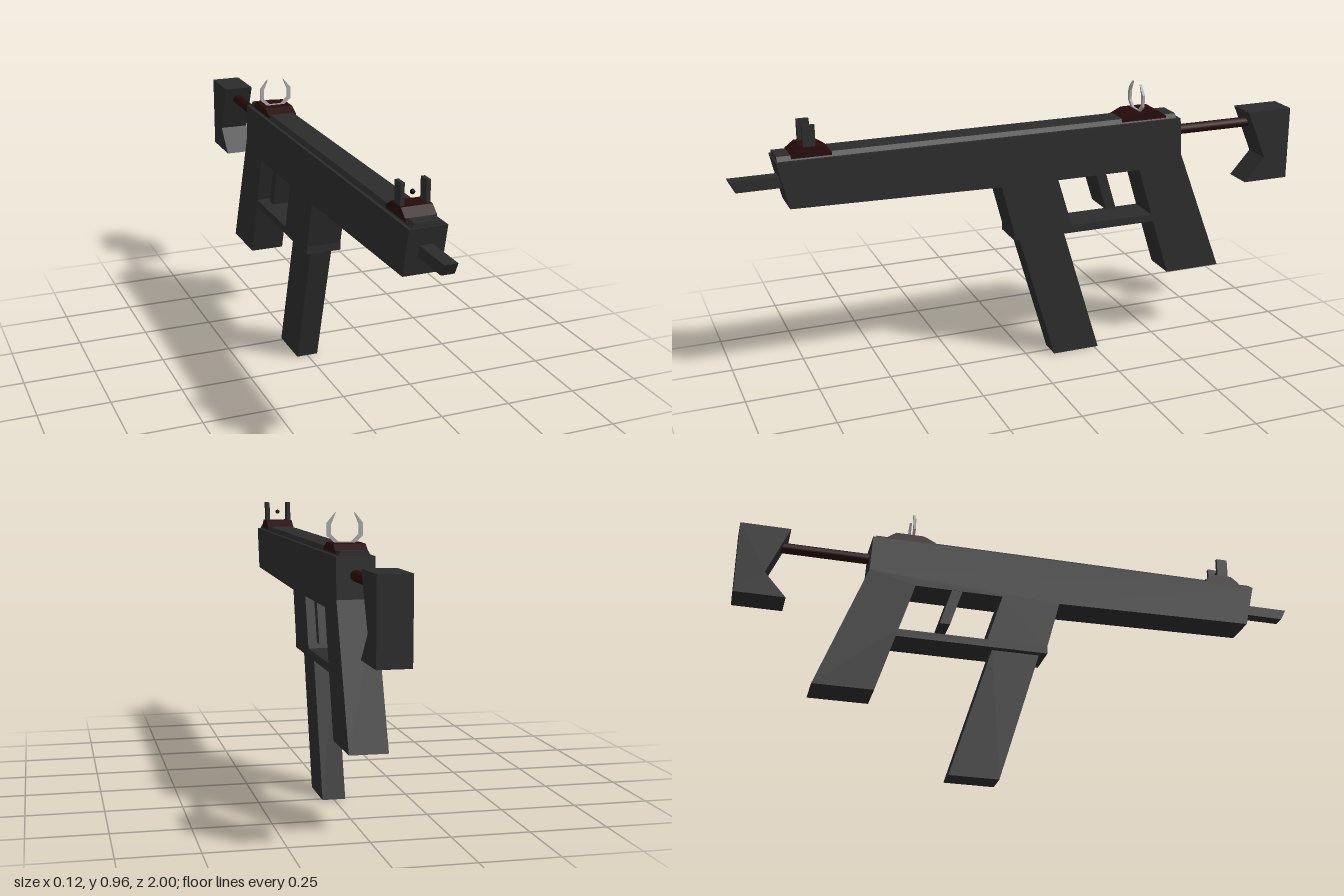
import * as THREE from 'three';

export function createModel() {
  const model = new THREE.Group();
  const mat = (name, color) => {
    const m = new THREE.MeshStandardMaterial({ color });
    m.name = name;
    return m;
  };
  const charcoal = mat('charcoal', 0x2c2c2c);
  const darkRed = mat('dark red', 0x280a0a);
  const steel = mat('steel grey', 0xa8a8a8);
  const black = mat('black', 0x060606);

  const add = (name, geometry, material, parent = model) => {
    const mesh = new THREE.Mesh(geometry, material);
    mesh.name = name;
    parent.add(mesh);
    return mesh;
  };
  const shapeOf = (pts) => new THREE.Shape(pts.map(([a, b]) => new THREE.Vector2(a, b)));
  const extrude = (shape, depth) =>
    new THREE.ExtrudeGeometry(shape, { depth, bevelEnabled: false }).translate(0, 0, -depth / 2);
  // side profile in (z, y), given a width across x
  const side = (pts, width, hole) => {
    const shape = shapeOf(pts);
    if (hole) shape.holes.push(shapeOf(hole));
    return extrude(shape, width).rotateY(-Math.PI / 2);
  };

  // frame: receiver, magazine well, guard and grip around the trigger window
  add('frame', side([
    [0.855, 0.83], [0.82, 0.675], [0.11, 0.66], [0.065, 0.49], [0.065, 0.463],
    [-0.46, 0.463], [-0.523, 0.26], [-0.727, 0.26], [-0.56, 0.70], [-0.553, 0.83],
  ], 0.122, [[-0.095, 0.66], [-0.40, 0.66], [-0.452, 0.49], [-0.147, 0.49]]), charcoal);

  add('trigger', side([[-0.235, 0.665], [-0.277, 0.53], [-0.313, 0.53], [-0.272, 0.665]], 0.12), charcoal);
  add('magazine', side([[0.043, 0.47], [-0.095, 0], [-0.265, 0], [-0.123, 0.47]], 0.077), charcoal);
  add('barrel', side([[1, 0.773], [0.98, 0.735], [0.82, 0.735], [0.82, 0.773]], 0.042), charcoal);

  // bevelled rail along the top
  const rail = extrude(shapeOf([[-0.052, 0.828], [0.052, 0.828], [0.042, 0.845], [-0.042, 0.845]]), 1.39);
  add('topRail', rail.translate(0, 0, 0.155), charcoal);

  // stock
  const rod = new THREE.CylinderGeometry(0.018, 0.018, 0.36, 12).rotateX(Math.PI / 2);
  add('stockRod', rod.translate(0, 0.772, -0.71), darkRed);
  add('stockPad', side([[-0.83, 0.82], [-0.905, 0.645], [-0.83, 0.56], [-1, 0.56], [-1, 0.82]], 0.104), charcoal);

  // front sight: base, two posts and a bead
  const frontSight = new THREE.Group();
  frontSight.name = 'frontSight';
  model.add(frontSight);
  add('frontSightBase', side([
    [0.805, 0.835], [0.805, 0.845], [0.775, 0.868], [0.71, 0.868], [0.675, 0.845], [0.675, 0.835],
  ], 0.1), darkRed, frontSight);
  for (const s of [-1, 1]) {
    add('frontSightPost', new THREE.BoxGeometry(0.013, 0.08, 0.04), charcoal, frontSight)
      .position.set(s * 0.041, 0.897, 0.745);
  }
  add('frontSightBead', new THREE.SphereGeometry(0.008, 10, 8), black, frontSight)
    .position.set(0, 0.9, 0.745);

  // rear sight: base and an open faceted ring
  const rearSight = new THREE.Group();
  rearSight.name = 'rearSight';
  model.add(rearSight);
  add('rearSightBase', side([
    [-0.335, 0.835], [-0.335, 0.843], [-0.375, 0.862], [-0.472, 0.862], [-0.50, 0.843], [-0.50, 0.835],
  ], 0.102), darkRed, rearSight);
  const half = [[0.034, 0.048], [0.057, 0.02], [0.057, -0.02], [0.026, -0.048]];
  const outer = [...half, ...half.map(([x, y]) => [-x, y]).reverse()];
  const inner = outer.map(([x, y]) => [x * 0.78, y * 0.8]).reverse();
  inner[0] = [-0.029, 0.053];
  inner[inner.length - 1] = [0.029, 0.053];
  add('rearSightRing', extrude(shapeOf([...outer, ...inner]), 0.008), steel, rearSight)
    .position.set(0, 0.903, -0.41);

  return model;
}
